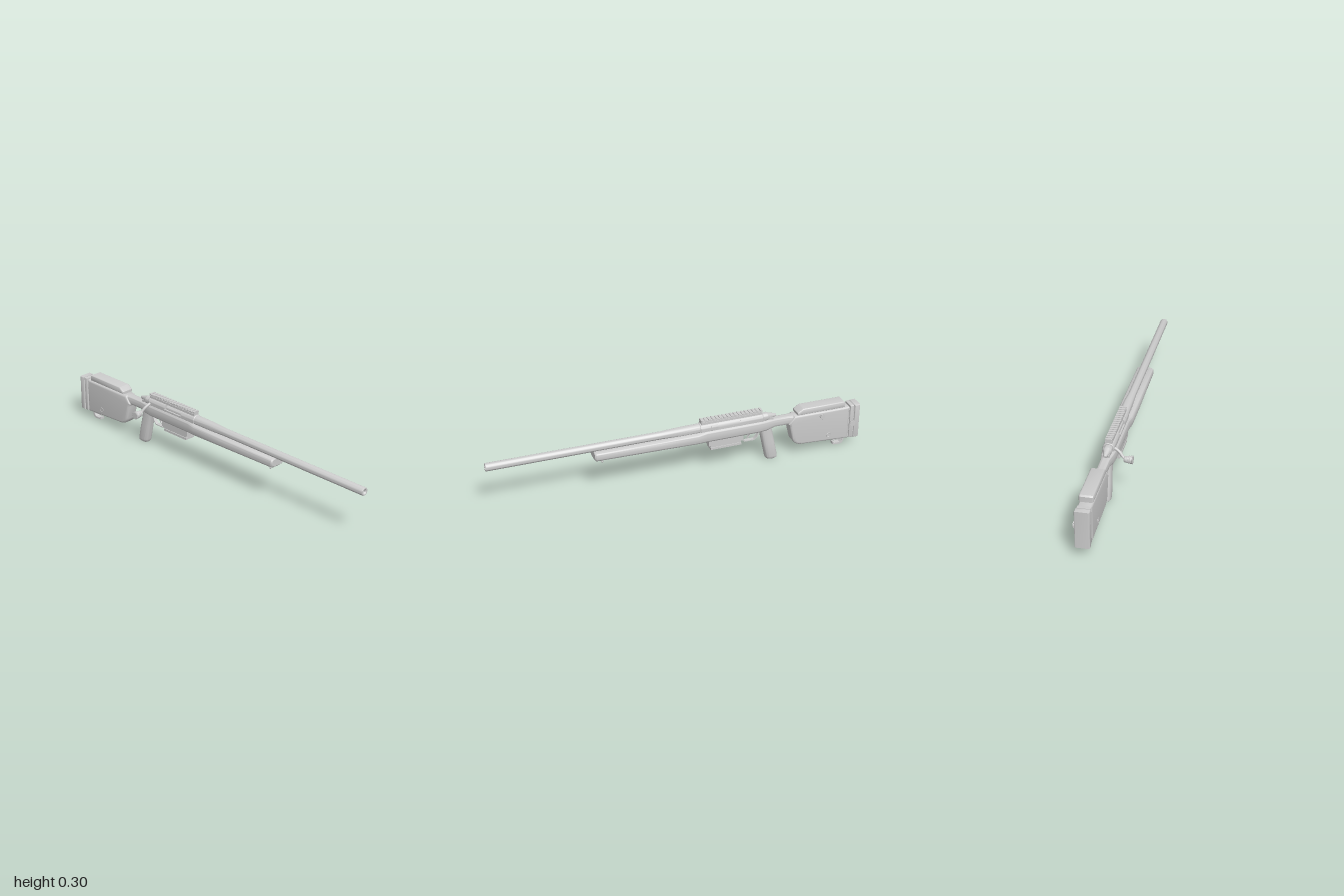
import * as THREE from 'three';
import { toCreasedNormals } from 'three/addons/utils/BufferGeometryUtils.js';

const AXIS = 0.252; // height of the barrel axis

export function createModel() {
  const model = new THREE.Group();
  const body = new THREE.Group();
  body.name = 'rifle';
  body.position.x = 0.035;
  model.add(body);

  const grey = new THREE.MeshStandardMaterial({ color: 0xcccccc, side: THREE.DoubleSide });
  grey.name = 'lightGrey';

  const add = (name, geo, x = 0, y = 0, z = 0) => {
    const mesh = new THREE.Mesh(geo, grey);
    mesh.name = name;
    mesh.position.set(x, y, z);
    body.add(mesh);
    return mesh;
  };
  const box = (name, w, h, d, x, y, z) => add(name, new THREE.BoxGeometry(w, h, d), x, y, z);

  // Turned part along z from [radius, z] pairs, listed from low z to high z
  const turned = (name, pts) => {
    const geo = new THREE.LatheGeometry(pts.map(([r, z]) => new THREE.Vector2(r, z)), 32);
    return add(name, toCreasedNormals(geo.rotateX(Math.PI / 2), 0.5), 0, AXIS, 0);
  };

  // Side profile in (z, y), extruded across x with a rounded edge
  const slab = (name, shape, width, bevel) => {
    const geo = new THREE.ExtrudeGeometry(shape, {
      depth: width - 2 * bevel, bevelEnabled: bevel > 0, bevelSize: bevel,
      bevelThickness: bevel, bevelOffset: -bevel, bevelSegments: 4, curveSegments: 10,
    });
    geo.translate(0, 0, -(width / 2 - bevel)).rotateY(-Math.PI / 2);
    return add(name, toCreasedNormals(geo, 0.6));
  };
  const outline = (pts) => new THREE.Shape(pts.map(([z, y]) => new THREE.Vector2(z, y)));

  // Rounded sections [z, halfWidth, bottom, top], from high z to low z
  const loft = (stations, power = 0.5, n = 40) => {
    const pos = [], idx = [];
    const round = (v) => Math.sign(v) * Math.abs(v) ** power;
    for (const [z, hw, lo, hi] of stations)
      for (let j = 0; j < n; j++) {
        const a = (j / n) * Math.PI * 2;
        pos.push(hw * round(Math.cos(a)), (lo + hi) / 2 + ((hi - lo) / 2) * round(Math.sin(a)), z);
      }
    const last = (stations.length - 1) * n;
    for (let j = 0; j < n; j++) {
      const k = (j + 1) % n;
      for (let b = 0; b < last; b += n)
        idx.push(b + j, b + n + j, b + k, b + k, b + n + j, b + n + k);
      if (j > 0 && j < n - 1) idx.push(0, j, k, last, last + k, last + j);
    }
    const geo = new THREE.BufferGeometry();
    geo.setAttribute('position', new THREE.Float32BufferAttribute(pos, 3));
    geo.setIndex(idx);
    return toCreasedNormals(geo, 0.6);
  };

  // Barrel with a recessed crown and bore
  turned('barrel', [[0, -0.11], [0.0265, -0.11], [0.0255, 0], [0.0207, 0.1], [0.0207, 0.996], [0.019, 1],
    [0.013, 1], [0.009, 0.994], [0.009, 0.9], [0, 0.9]]);

  // Stock: fore-end, action bed and neck
  add('foreStock', loft([
    [0.457, 0.040, 0.196, 0.234], [0.450, 0.045, 0.189, 0.238], [0.1, 0.047, 0.184, 0.238],
    [-0.09, 0.046, 0.180, 0.240], [-0.14, 0.037, 0.176, 0.244], [-0.43, 0.036, 0.176, 0.244],
    [-0.47, 0.031, 0.178, 0.240], [-0.52, 0.023, 0.189, 0.236], [-0.60, 0.023, 0.188, 0.236],
    [-0.65, 0.031, 0.170, 0.236],
  ]));

  // Pistol grip: sections stacked by height
  add('grip', loft([
    [0.205, 0.023, 0.430, 0.510], [0.17, 0.024, 0.441, 0.509], [0.1, 0.026, 0.457, 0.524],
    [0.02, 0.027, 0.475, 0.541], [0.009, 0.025, 0.478, 0.541], [0.003, 0.020, 0.484, 0.533],
  ], 0.7).rotateX(-Math.PI / 2));

  // Buttstock
  const butt = new THREE.Shape();
  butt.moveTo(-0.625, 0.236);
  butt.lineTo(-0.94, 0.236);
  butt.lineTo(-0.94, 0.048);
  butt.lineTo(-0.67, 0.062);
  butt.quadraticCurveTo(-0.625, 0.066, -0.616, 0.11);
  butt.lineTo(-0.602, 0.17);
  butt.quadraticCurveTo(-0.6, 0.188, -0.595, 0.192);
  slab('buttstock', butt, 0.068, 0.012);

  // Cheek rest with a sloped front
  slab('cheekRest', outline([[-0.642, 0.239], [-0.642, 0.253], [-0.672, 0.273], [-0.905, 0.273],
    [-0.912, 0.266], [-0.912, 0.239]]), 0.07, 0.008);
  box('cheekRestMount', 0.03, 0.016, 0.22, 0, 0.237, -0.78);

  // Butt plate and recoil pad
  slab('buttSpacer', outline([[-0.938, 0.228], [-0.938, 0.056], [-0.946, 0.056], [-0.946, 0.228]]), 0.05, 0);
  slab('buttPlate', outline([[-0.945, 0.24], [-0.945, 0.05], [-0.966, 0.049], [-0.966, 0.241]]), 0.066, 0.004);
  box('padGap', 0.058, 0.18, 0.008, 0, 0.145, -0.968);
  slab('recoilPad', outline([[-0.97, 0.241], [-0.97, 0.048], [-1, 0.048], [-1, 0.241]]), 0.072, 0.005);

  // Adjusting knobs on the left side
  const knob = (name, r, x0, x1, y, z) => {
    const geo = new THREE.CylinderGeometry(r, r, x1 - x0, 24).rotateZ(Math.PI / 2);
    add(name, toCreasedNormals(geo, 0.5), (x0 + x1) / 2, y, z);
  };
  for (const [y, z, r, x1] of [[0.212, -0.78, 0.012, 0.045], [0.142, -0.955, 0.015, 0.05]]) {
    knob('knobShaft', 0.008, 0.03, x1 - 0.006, y, z);
    knob('knobHead', r, x1 - 0.012, x1, y, z);
    for (let i = 0; i < 12; i++) {
      const a = (i / 12) * Math.PI * 2;
      box('knobRidge', 0.008, 0.004, 0.004, x1 - 0.006, y + r * Math.sin(a), z + r * Math.cos(a))
        .rotation.x = -a;
    }
  }
  // Round sling cups on both sides
  for (const s of [-1, 1]) {
    const ring = add('slingCup', new THREE.TorusGeometry(0.012, 0.0015, 8, 28), s * 0.034, 0.09, -0.825);
    ring.rotation.y = Math.PI / 2;
  }

  // Hook under the butt
  slab('buttHook', outline([[-0.864, 0.026], [-0.864, 0.012], [-0.905, 0.009], [-0.92, 0.016],
    [-0.926, 0.03], [-0.926, 0.055], [-0.915, 0.055], [-0.914, 0.032], [-0.904, 0.02], [-0.871, 0.020],
    [-0.871, 0.026]]), 0.026, 0);
  box('hookMount', 0.026, 0.014, 0.07, 0, 0.046, -0.895);

  // Receiver: two rings joined by a wall that is open at the ejection port
  turned('receiverFront', [[0, -0.2], [0.029, -0.2], [0.029, -0.108], [0.026, -0.105], [0, -0.105]]);
  turned('receiverRear', [[0, -0.452], [0.026, -0.452], [0.029, -0.447], [0.029, -0.32], [0, -0.32]]);
  add('receiverWall', new THREE.CylinderGeometry(0.028, 0.028, 0.12, 28, 1, true, -0.4 * Math.PI, 1.55 * Math.PI)
    .rotateX(Math.PI / 2), 0, AXIS, -0.26);
  box('receiverBase', 0.056, 0.022, 0.33, 0, 0.24, -0.28);
  for (const z of [-0.165, -0.325])
    turned('receiverBand', [[0.028, z - 0.003], [0.0303, z - 0.003], [0.0303, z + 0.003], [0.028, z + 0.003]]);

  // Bolt body and pointed shroud
  turned('bolt', [[0, -0.33], [0.02, -0.33], [0.02, -0.19], [0, -0.19]]);
  turned('boltShroud', [[0, -0.53], [0.006, -0.53], [0.010, -0.52], [0.017, -0.49], [0.023, -0.478],
    [0.022, -0.45], [0, -0.45]]);
  box('tang', 0.034, 0.02, 0.07, 0, 0.238, -0.475);

  // Bolt handle with grooved knob
  const arm = new THREE.CatmullRomCurve3([[-0.015, 0.253, -0.435], [-0.035, 0.246, -0.437],
    [-0.056, 0.232, -0.443], [-0.072, 0.214, -0.45], [-0.084, 0.205, -0.452]]
    .map((p) => new THREE.Vector3(...p)));
  add('boltHandle', new THREE.TubeGeometry(arm, 24, 0.0075, 12));
  const knobProfile = [[0, 0], [0.013, 0], [0.015, 0.004]];
  for (let i = 0; i < 4; i++) {
    const y = 0.005 + i * 0.009, r = 0.016 + i * 0.0014;
    knobProfile.push([r, y], [r, y + 0.007], [r - 0.0015, y + 0.0075], [r - 0.0015, y + 0.0085]);
  }
  knobProfile.push([0.021, 0.042], [0.018, 0.044], [0, 0.044]);
  add('boltKnob', toCreasedNormals(new THREE.LatheGeometry(knobProfile.map(([r, y]) => new THREE.Vector2(r, y)), 24)
    .rotateZ(Math.PI / 2), 0.5), -0.077, 0.204, -0.452);

  // Toothed top rail
  box('railBase', 0.034, 0.012, 0.335, 0, 0.283, -0.28);
  box('railNeck', 0.028, 0.01, 0.335, 0, 0.29, -0.28);
  box('railBed', 0.036, 0.005, 0.335, 0, 0.2945, -0.28);
  for (let i = 0; i < 17; i++)
    box('railTooth', 0.034, 0.005, 0.011, 0, 0.2985, -0.118 - i * 0.02025);

  // Magazine with floor plate
  box('magazineWell', 0.062, 0.03, 0.19, 0, 0.168, -0.245);
  box('magazine', 0.05, 0.04, 0.165, 0, 0.15, -0.245);
  box('magazineFloor', 0.058, 0.012, 0.168, 0, 0.135, -0.245);

  // Trigger and guard
  slab('triggerGuard', outline([[-0.335, 0.18], [-0.34, 0.146], [-0.356, 0.129], [-0.41, 0.129],
    [-0.428, 0.145], [-0.44, 0.18], [-0.434, 0.18], [-0.423, 0.148], [-0.408, 0.134], [-0.358, 0.134],
    [-0.346, 0.148], [-0.341, 0.18]]), 0.02, 0);
  slab('trigger', outline([[-0.374, 0.18], [-0.38, 0.16], [-0.37, 0.144], [-0.375, 0.143],
    [-0.387, 0.16], [-0.385, 0.18]]), 0.01, 0);

  // Fore-end stud and vent ribs underneath
  add('slingStud', new THREE.CylinderGeometry(0.003, 0.005, 0.026, 14), 0, 0.18, 0.41);
  add('studBall', new THREE.SphereGeometry(0.006, 16, 10), 0, 0.164, 0.41);
  for (let i = 0; i < 4; i++)
    box('ventRib', 0.036, 0.014, 0.007, 0, 0.186, 0.38 - i * 0.016);

  return model;
}
